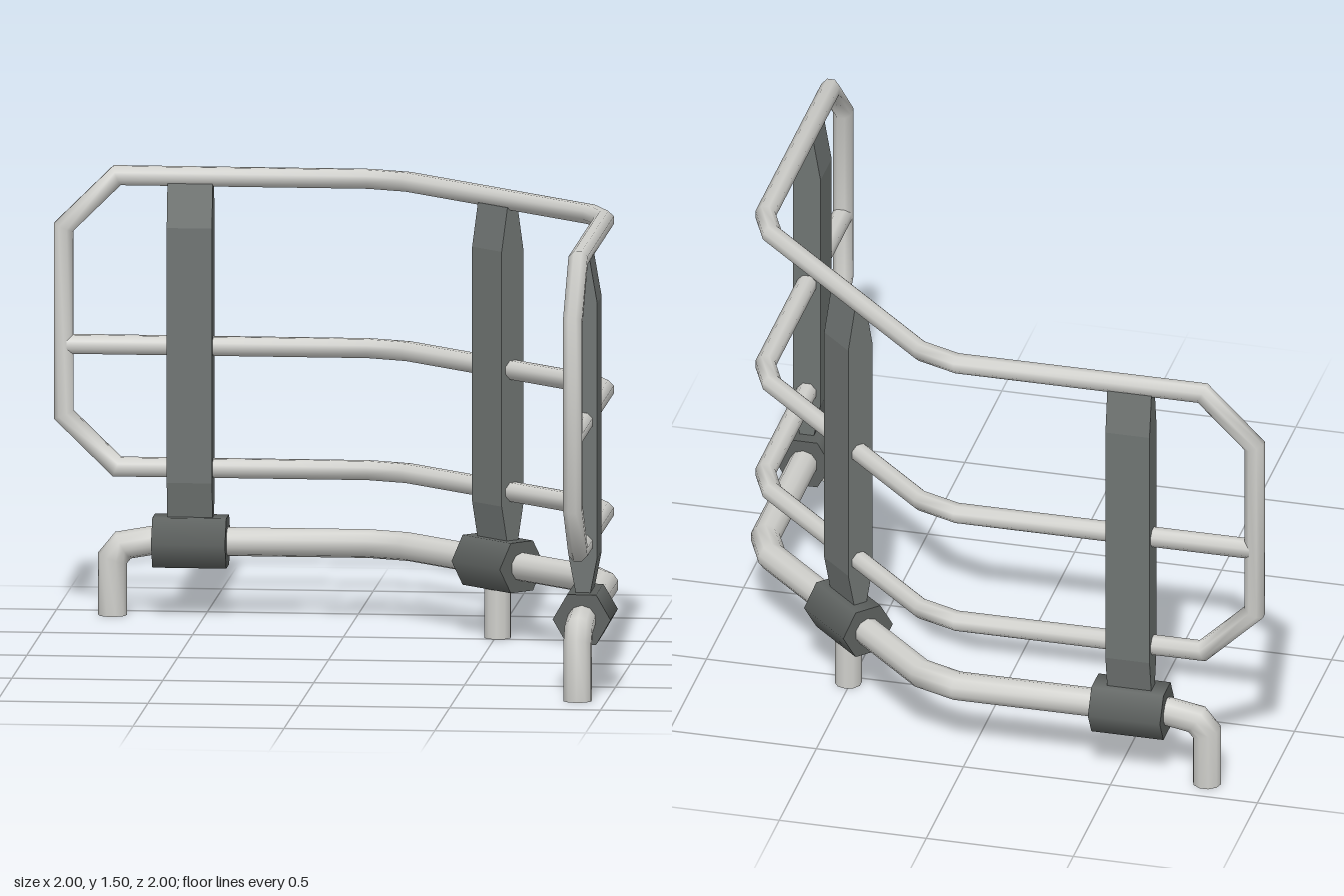
import * as THREE from 'three';

const V = (x, y, z) => new THREE.Vector3(x, y, z);
const pipeMat = new THREE.MeshStandardMaterial({ color: 0xcfcfcb });
pipeMat.name = 'light grey pipe';
const postMat = new THREE.MeshStandardMaterial({ color: 0x6f7472 });
postMat.name = 'grey post';
const clampMat = new THREE.MeshStandardMaterial({ color: 0x5e6260 });
clampMat.name = 'dark grey clamp';

// Plan of the bent rail: two straight arms joined by a diagonal
const ARM = 0.905;
const bends = [[0.045, -0.907], [0.18, -0.855], [0.85, -0.21], [0.905, -0.085]];
const bendRun = (y) => bends.map(([x, z]) => V(x, y, z));
const armA = (s, y) => V(-s, y, -ARM);
const armB = (s, y) => V(ARM, y, s);

// Sideways direction of the rail at a point
function sideways(p) {
  if (p.x < 0) return V(0, 0, -1);
  if (p.z > 0) return V(1, 0, 0);
  return V(0.69, 0, -0.72);
}

// Round pipe with mitred bends along a path
function pipe(name, path, radius, sides, closed) {
  const n = path.length, pos = [], index = [];
  for (let i = 0; i < n; i++) {
    const p = path[i];
    const prev = closed || i > 0 ? path[(i + n - 1) % n] : null;
    const next = closed || i < n - 1 ? path[(i + 1) % n] : null;
    const d1 = next ? next.clone().sub(p).normalize() : p.clone().sub(prev).normalize();
    const d0 = prev ? p.clone().sub(prev).normalize() : d1.clone();
    const t = d0.clone().add(d1).normalize();
    const side = sideways(p);
    side.addScaledVector(t, -side.dot(t)).normalize();
    const up = t.clone().cross(side);
    const mitre = d1.clone().sub(d0).normalize();
    const stretch = 1 / t.dot(d1) - 1;
    for (let j = 0; j < sides; j++) {
      const a = ((j + 0.5) / sides) * Math.PI * 2;
      const o = side.clone().multiplyScalar(Math.cos(a) * radius).addScaledVector(up, Math.sin(a) * radius);
      o.addScaledVector(mitre, o.dot(mitre) * stretch).add(p);
      pos.push(o.x, o.y, o.z);
    }
  }
  for (let i = 0; i < (closed ? n : n - 1); i++) {
    for (let j = 0; j < sides; j++) {
      const k = (j + 1) % sides, r0 = i * sides, r1 = ((i + 1) % n) * sides;
      index.push(r0 + j, r0 + k, r1 + j, r0 + k, r1 + k, r1 + j);
    }
  }
  // End caps
  if (!closed) {
    for (const [ring, flip] of [[0, true], [n - 1, false]]) {
      const base = pos.length / 3;
      pos.push(...pos.slice(ring * sides * 3, (ring + 1) * sides * 3));
      for (let j = 1; j < sides - 1; j++) {
        if (flip) index.push(base, base + j + 1, base + j);
        else index.push(base, base + j, base + j + 1);
      }
    }
  }
  const geo = new THREE.BufferGeometry();
  geo.setAttribute('position', new THREE.Float32BufferAttribute(pos, 3));
  geo.setIndex(index);
  geo.computeVertexNormals();
  const mesh = new THREE.Mesh(geo, pipeMat);
  mesh.name = name;
  return mesh;
}

// Upright post with tapered ends, and the hexagonal clamp at its foot
function support(x, z, turn) {
  const g = new THREE.Group();
  g.name = 'support';
  const s = new THREE.Shape();
  const profile = [[0.022, 0.32], [0.047, 0.45], [0.047, 1.3], [0.022, 1.445]];
  profile.forEach(([u, y], i) => (i ? s.lineTo(u, y) : s.moveTo(u, y)));
  [...profile].reverse().forEach(([u, y]) => s.lineTo(-u, y));
  const postGeo = new THREE.ExtrudeGeometry(s, { depth: 0.15, bevelEnabled: false });
  postGeo.translate(0, 0, -0.075);
  const post = new THREE.Mesh(postGeo, postMat);
  post.name = 'post';
  const clampGeo = new THREE.CylinderGeometry(0.096, 0.096, 0.245, 6, 1, false, Math.PI / 2);
  clampGeo.rotateX(Math.PI / 2);
  const clamp = new THREE.Mesh(clampGeo, clampMat);
  clamp.name = 'clamp';
  clamp.position.y = 0.25;
  g.add(post, clamp);
  g.position.set(x, 0, z);
  g.rotation.y = turn;
  return g;
}

export function createModel() {
  const model = new THREE.Group();
  model.name = 'bentGuardRail';

  // Upper frame: closed loop with chamfered ends
  const end = [[0.79, 1.467], [0.967, 1.292], [0.967, 0.667], [0.79, 0.495]];
  const frame = [
    ...bendRun(1.467),
    ...end.map(([s, y]) => armB(s, y)),
    ...bendRun(0.495).reverse(),
    ...[...end].reverse().map(([s, y]) => armA(s, y)),
  ];
  model.add(pipe('frame', frame, 0.034, 8, true));

  // Middle rail
  model.add(pipe('middleRail', [armA(0.955, 0.902), ...bendRun(0.902), armB(0.955, 0.902)], 0.034, 8, false));

  // Base rail turning down into a foot at each end
  const foot = [[0.805, 0], [0.805, 0.19], [0.77, 0.233], [0.675, 0.25]];
  const base = [
    ...foot.map(([s, y]) => armA(s, y)),
    ...bendRun(0.25),
    ...[...foot].reverse().map(([s, y]) => armB(s, y)),
  ];
  model.add(pipe('baseRail', base, 0.048, 10, false));

  // Middle foot
  const leg = new THREE.Mesh(new THREE.CylinderGeometry(0.045, 0.045, 0.22, 10), pipeMat);
  leg.name = 'middleFoot';
  leg.position.set(0.508, 0.11, -0.537);
  model.add(leg);

  // Three supports
  model.add(support(-0.546, -ARM, Math.PI / 2));
  model.add(support(0.508, -0.537, Math.atan2(0.67, 0.645)));
  model.add(support(ARM, 0.55, 0));
  return model;
}
